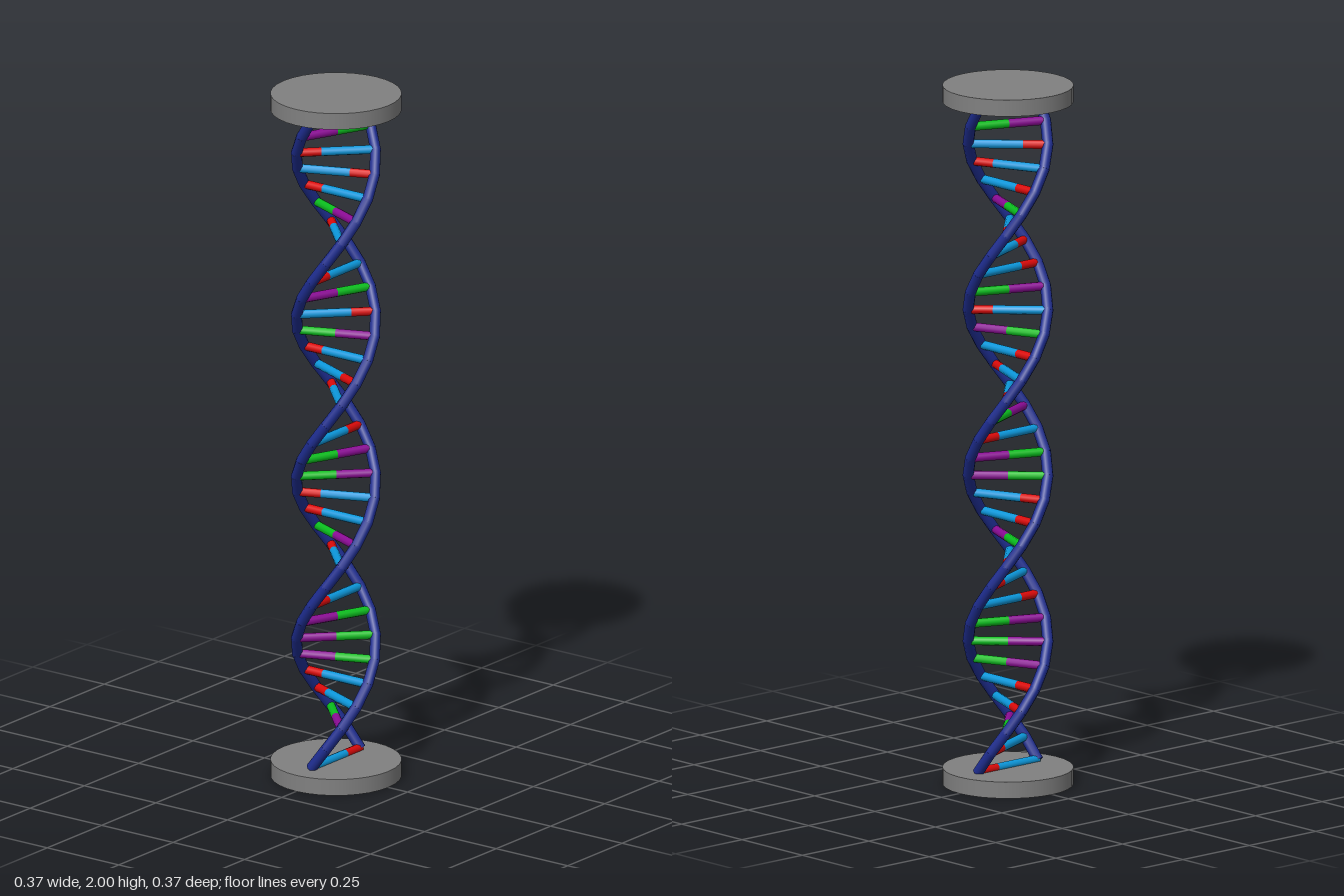
import * as THREE from 'three';

const RUNGS = 33, STEP_Y = 0.0593, STEP_T = Math.PI / 8, R = 0.111;
// Base at the end of each rung on the first strand, from bottom to top
const BASES = 'bbpbbgggbrrgrrggbpbrbprgbbrgrbrpp';

const mat = (name, color) => {
  const m = new THREE.MeshStandardMaterial({ color });
  m.name = name;
  return m;
};

// Cylinder running from point a to point b
function rod(name, a, b, radius, material, sides) {
  const dir = b.clone().sub(a);
  const mesh = new THREE.Mesh(new THREE.CylinderGeometry(radius, radius, dir.length(), sides), material);
  mesh.position.copy(a).add(b).multiplyScalar(0.5);
  mesh.quaternion.setFromUnitVectors(new THREE.Vector3(0, 1, 0), dir.normalize());
  mesh.name = name;
  return mesh;
}

export function createModel() {
  const model = new THREE.Group();
  model.name = 'doubleHelix';
  const grey = mat('plateGrey', 0x808080);
  const navy = mat('strandNavy', 0x1e2d90);
  const base = {
    r: mat('baseRed', 0xdc0a0a),
    b: mat('baseBlue', 0x0c98dc),
    g: mat('baseGreen', 0x0abe1e),
    p: mat('basePurple', 0x8c0c96),
  };
  const partner = { r: 'b', b: 'r', g: 'p', p: 'g' };

  // Point on the rung i, at signed distance r from the axis
  const point = (i, r) => new THREE.Vector3(
    r * Math.sin(i * STEP_T), 1 + (i - 16) * STEP_Y, r * Math.cos(i * STEP_T));

  // Round end plates
  for (const [name, y] of [['bottomPlate', 0.0235], ['topPlate', 1.9765]]) {
    const plate = new THREE.Mesh(new THREE.CylinderGeometry(0.183, 0.183, 0.047, 32), grey);
    plate.position.y = y;
    plate.name = name;
    model.add(plate);
  }

  // Two strands of straight links, slightly overlapping at the joints
  for (const side of [1, -1]) {
    const strand = new THREE.Group();
    strand.name = side > 0 ? 'firstStrand' : 'secondStrand';
    for (let i = 0; i < RUNGS - 1; i++) {
      const a = point(i, side * R), b = point(i + 1, side * R);
      const extra = b.clone().sub(a).multiplyScalar(0.04);
      strand.add(rod('strandLink', a.sub(extra), b.add(extra), 0.0155, navy, 10));
    }
    model.add(strand);
  }

  // Rungs of two bases each; red ones are shorter than their blue partners
  const rungs = new THREE.Group();
  rungs.name = 'rungs';
  const shift = { r: 0.042, b: -0.042, g: 0, p: 0 };
  for (let i = 0; i < RUNGS; i++) {
    const first = BASES[i], split = point(i, shift[first]);
    rungs.add(rod('firstBase', split, point(i, R), 0.0125, base[first], 10));
    rungs.add(rod('secondBase', point(i, -R), split, 0.0125, base[partner[first]], 10));
  }
  model.add(rungs);
  return model;
}
